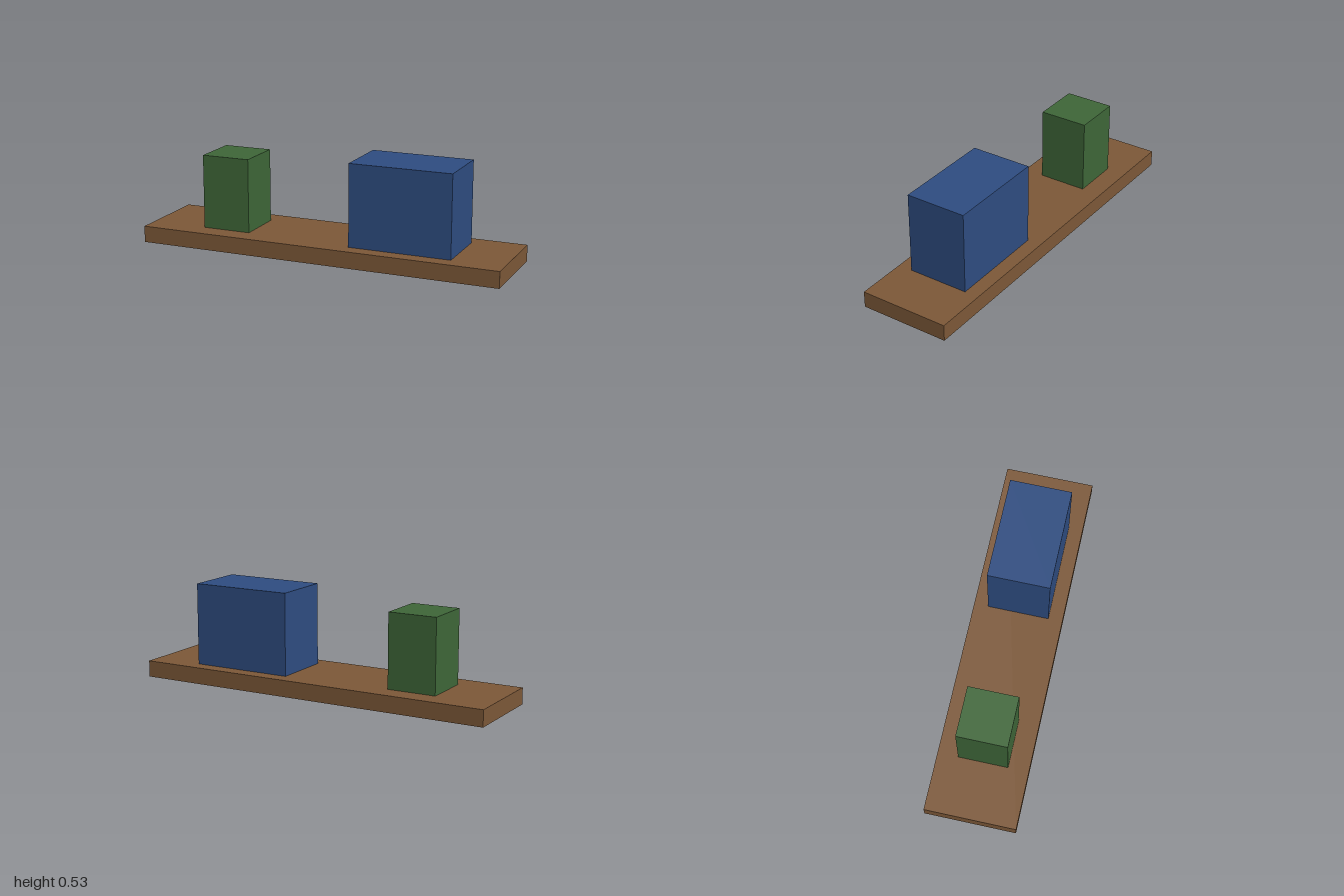
import * as THREE from 'three';

export function createModel() {
  const group = new THREE.Group();
  const material = (name, color) => {
    const m = new THREE.MeshStandardMaterial({ color });
    m.name = name;
    return m;
  };
  // Box resting on height y, centred on x
  const block = (name, [w, h, d], x, y, mat) => {
    const mesh = new THREE.Mesh(new THREE.BoxGeometry(w, h, d), mat);
    mesh.name = name;
    mesh.position.set(x, y + h / 2, 0);
    group.add(mesh);
  };

  const boardHeight = 0.089;
  // Flat board
  block('board', [2, boardHeight, 0.489], 0, 0, material('brown', 0x7c5838));
  // Tall square block on the model's right
  block('tallBlock', [0.267, 0.4, 0.267], -0.556, boardHeight, material('green', 0x3e6638));
  // Wide block on the model's left
  block('wideBlock', [0.556, 0.444, 0.333], 0.444, boardHeight, material('blue', 0x2e4c80));

  return group;
}
